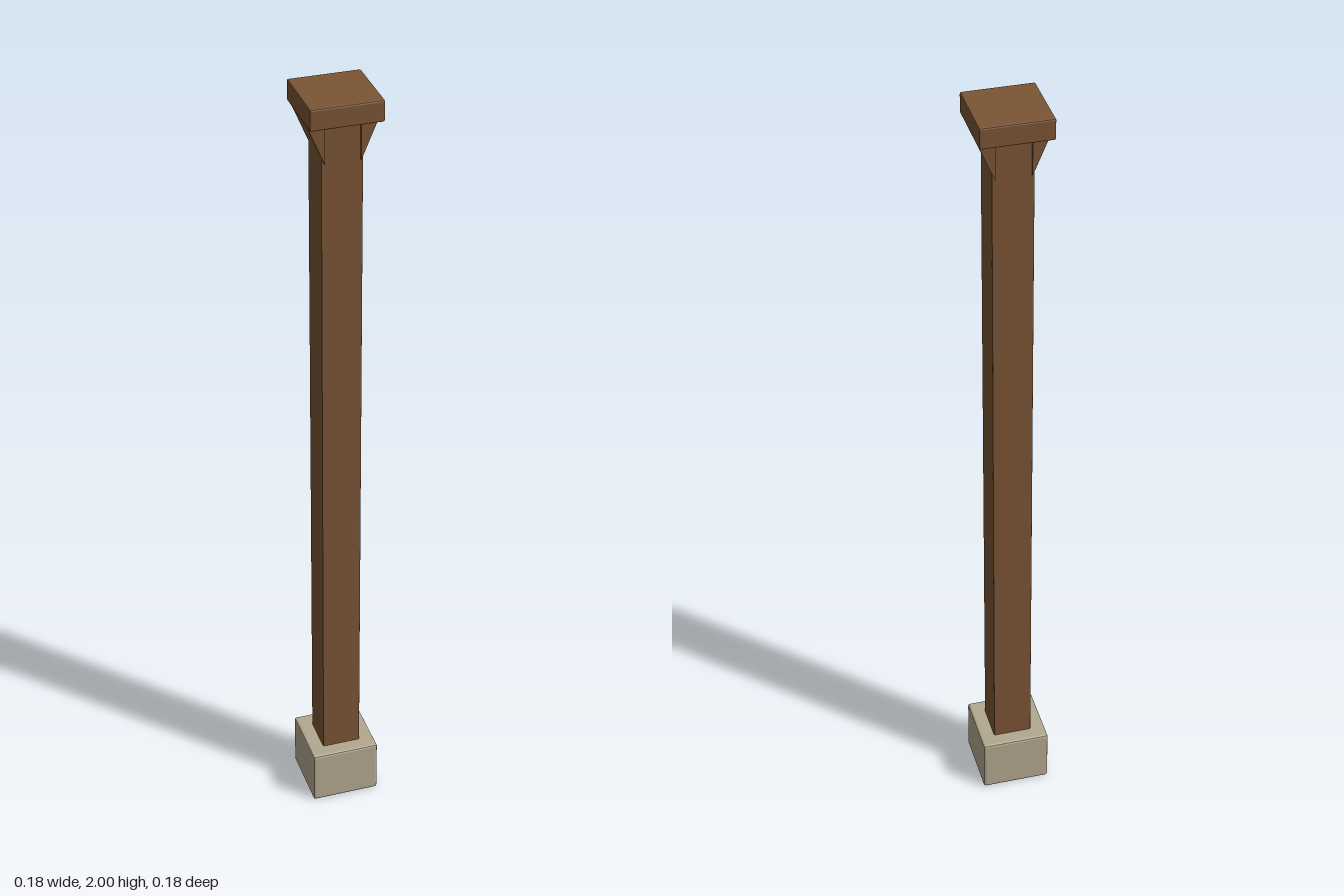
import * as THREE from 'three';
import { RoundedBoxGeometry } from 'three/addons/geometries/RoundedBoxGeometry.js';

export function createModel() {
  const model = new THREE.Group();
  model.name = 'woodenPost';

  const wood = new THREE.MeshStandardMaterial({ color: 0x7a5534 });
  wood.name = 'brown wood';
  const stone = new THREE.MeshStandardMaterial({ color: 0xb3a890 });
  stone.name = 'pale stone';

  // Square block with small flat chamfers, standing between two heights
  function block(name, width, bottom, top, chamfer, material) {
    let geometry = new RoundedBoxGeometry(width, top - bottom, width, 1, chamfer);
    if (geometry.index) geometry = geometry.toNonIndexed();
    geometry.computeVertexNormals();
    const mesh = new THREE.Mesh(geometry, material);
    mesh.name = name;
    mesh.position.y = (bottom + top) / 2;
    model.add(mesh);
  }

  block('stoneBase', 0.176, 0, 0.145, 0.006, stone);
  block('post', 0.1, 0.135, 1.96, 0.003, wood);
  block('cap', 0.176, 1.947, 2, 0.004, wood);

  // Wedge brackets under the cap, slightly wider than the post
  const wedge = new THREE.Shape([
    new THREE.Vector2(0.043, 1.845),
    new THREE.Vector2(0.087, 1.95),
    new THREE.Vector2(0.043, 1.95),
  ]);
  const bracketGeometry = new THREE.ExtrudeGeometry(wedge, { depth: 0.112, bevelEnabled: false });
  bracketGeometry.translate(0, 0, -0.056);
  for (const [name, turn] of [['leftBracket', 0], ['rightBracket', Math.PI]]) {
    const bracket = new THREE.Mesh(bracketGeometry, wood);
    bracket.name = name;
    bracket.rotation.y = turn;
    model.add(bracket);
  }

  return model;
}
